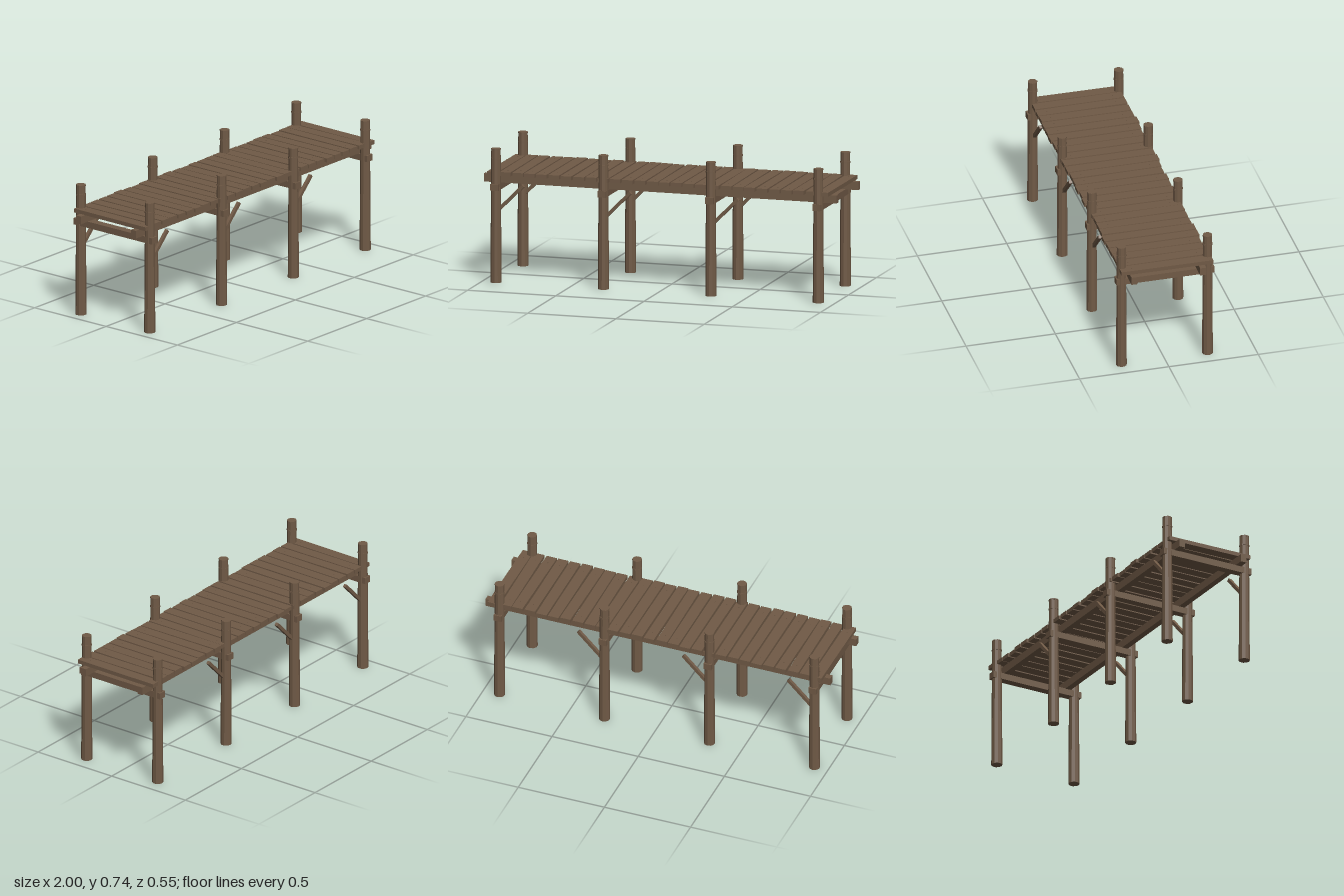
import * as THREE from 'three';

const wood = new THREE.MeshStandardMaterial({ color: 0x705a46, flatShading: true });
wood.name = 'weathered brown wood';

// Small seeded generator for hand-laid irregularity, returns -1..1
function makeJitter(seed) {
  return () => {
    seed = (seed * 16807) % 2147483647;
    return (seed / 2147483647) * 2 - 1;
  };
}

function add(parent, name, geometry, x, y, z) {
  const mesh = new THREE.Mesh(geometry, wood);
  mesh.name = name;
  mesh.position.set(x, y, z);
  parent.add(mesh);
  return mesh;
}

const box = (w, h, d) => new THREE.BoxGeometry(w, h, d);

export function createModel() {
  const pier = new THREE.Group();
  pier.name = 'pier';
  const jitter = makeJitter(4177);

  const postHeight = 0.736;
  const postZ = 0.241;
  const postXs = [0, 1, 2, 3].map((i) => -0.921 + i * 0.609);

  // Tapered posts with a collar band and a cap, in pairs
  postXs.forEach((x, i) => {
    for (const side of [1, -1]) {
      const post = new THREE.Group();
      post.name = 'post';
      post.position.set(x, 0, side * postZ);
      pier.add(post);
      add(post, 'postShaft', new THREE.CylinderGeometry(0.0255, 0.0305, postHeight, 10), 0, postHeight / 2, 0);
      add(post, 'postBand', new THREE.CylinderGeometry(0.0278, 0.0278, 0.009, 10), 0, 0.682, 0);
      add(post, 'postCap', new THREE.CylinderGeometry(0.0265, 0.0265, 0.007, 10), 0, postHeight - 0.002, 0);

      // Diagonal brace rising from the post to the deck
      if (i < 3) {
        const brace = add(pier, 'brace', box(0.198, 0.018, 0.018), x + 0.083, 0.469, side * 0.236);
        brace.rotation.z = Math.PI / 4;
      }
    }
    // Cross beam joining the pair
    add(pier, 'crossBeam', box(0.045, 0.036, 0.548), x, 0.527, 0);
  });

  // Long stringers under the deck
  for (const side of [1, -1]) {
    add(pier, 'stringer', box(2, 0.044, 0.034), 0, 0.566, side * 0.192);
  }

  // Uneven deck planks, each with a nail over each stringer
  const count = 28;
  for (let i = 0; i < count; i++) {
    const plank = new THREE.Group();
    plank.name = 'plank';
    plank.position.set(-0.937 + i * (1.874 / (count - 1)), 0.599 + jitter() * 0.001, jitter() * 0.004);
    plank.rotation.y = jitter() * 0.012;
    pier.add(plank);
    add(plank, 'plankBoard', box(0.06 + jitter() * 0.002, 0.022, 0.505 + jitter() * 0.009), 0, 0, 0);
    for (const side of [1, -1]) {
      add(plank, 'nail', new THREE.CylinderGeometry(0.003, 0.003, 0.004, 6), 0, 0.011, side * 0.192);
    }
  }

  return pier;
}
